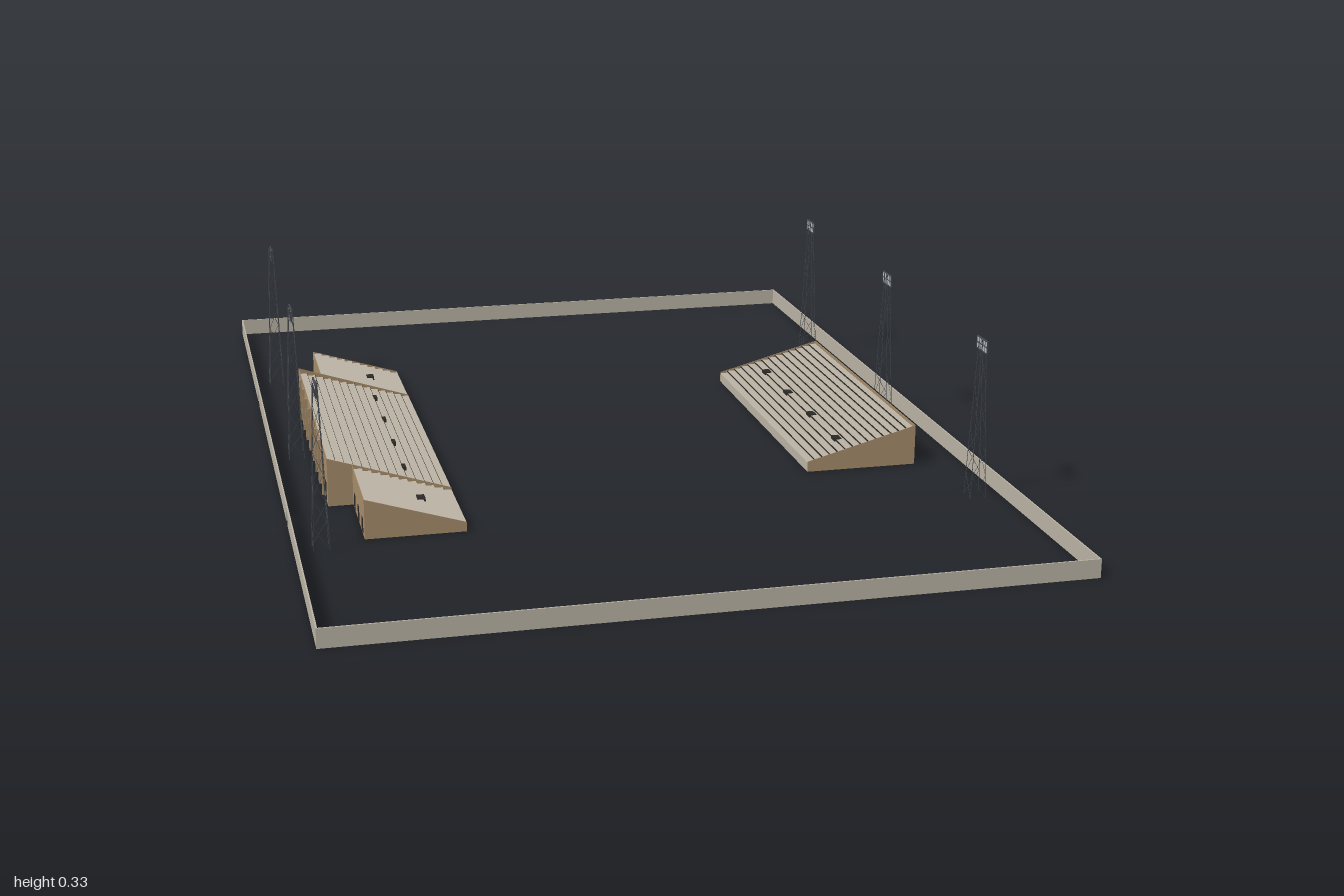
import * as THREE from 'three';
import { mergeGeometries } from 'three/addons/utils/BufferGeometryUtils.js';

const mat = (name, color, side = THREE.FrontSide) => {
  const m = new THREE.MeshStandardMaterial({ color, side });
  m.name = name;
  return m;
};

// box geometry given by its minimum and maximum corners
function block(x0, x1, y0, y1, z0, z1) {
  return new THREE.BoxGeometry(Math.abs(x1 - x0), y1 - y0, z1 - z0)
    .translate((x0 + x1) / 2, (y0 + y1) / 2, (z0 + z1) / 2);
}

function addMesh(parent, name, geometries, material) {
  const mesh = new THREE.Mesh(mergeGeometries(geometries.map(g => g.index ? g.toNonIndexed() : g)), material);
  mesh.name = name;
  parent.add(mesh);
}

// thin four-sided bar between two points
function bar(a, b, r = 0.0004) {
  const d = b.clone().sub(a);
  const q = new THREE.Quaternion().setFromUnitVectors(new THREE.Vector3(0, 1, 0), d.clone().normalize());
  return new THREE.CylinderGeometry(r, r, d.length(), 4)
    .applyQuaternion(q)
    .translate((a.x + b.x) / 2, (a.y + b.y) / 2, (a.z + b.z) / 2);
}

export function createModel() {
  const model = new THREE.Group();
  model.name = 'sportsGround';
  const concrete = mat('concrete', 0xbab2a4);
  const brick = mat('brownBrick', 0xa68b6a);
  const dark = mat('darkOpening', 0x2b2926, THREE.DoubleSide);
  const steel = mat('darkSteel', 0x43484f);
  const lampGrey = mat('lampGrey', 0xb4b8ba);

  // perimeter wall with two low gateways on one long side
  const X = 0.71, T = 0.003, H = 0.037;
  const walls = [
    block(-X, X, 0, H, 1 - T, 1),
    block(-X, X, 0, H, -1, -1 + T),
    block(X - T, X, 0, H, -1 + T, 1 - T),
  ];
  for (const [z0, z1] of [[-1 + T, -0.415], [-0.38, 0.38], [0.415, 1 - T]])
    walls.push(block(-X, -X + T, 0, H, z0, z1));
  for (const z of [-0.415, 0.38])
    walls.push(block(-X, -X + T, 0.025, H, z, z + 0.035));
  addMesh(model, 'perimeterWall', walls, concrete);

  // one block of terracing; s is the side of the ground it stands on
  function stand(name, s, o) {
    const g = new THREE.Group();
    g.name = name;
    const { front, back, low, high, z0, z1, rows, drop, rail, bays, hatches, hatchX, hatchW } = o;
    const p = 0.001, depth = (back - front - p) / rows;
    const rise = (high - drop - low) / (rows - 1);
    const treads = [], risers = [], openings = [], bricks = [];

    for (let i = 0; i < rows; i++) {
      const x = front + i * depth, y = low - 0.002 + i * rise;
      treads.push(block(s * x, s * (x + depth), 0, y, z0 + p, z1 - p));
      // dark strip on each riser, standing up a little where the rows have rails
      if (i > 0) {
        const bottom = rail ? y - rise * 0.5 : y - rise;
        const h = rise * 0.5 + (rail ? 0.0014 : 0);
        risers.push(new THREE.PlaneGeometry(z1 - z0 - 2 * p, h)
          .rotateY(s > 0 ? -Math.PI / 2 : Math.PI / 2)
          .translate(s * (x - 0.0004), bottom + h / 2, (z0 + z1) / 2));
      }
    }
    addMesh(g, 'terraceSteps', treads, concrete);
    addMesh(g, 'rowRisers', risers, dark);

    // sloping end walls and back wall
    const profile = new THREE.Shape([
      [front, 0], [back, 0], [back, high], [front, low],
    ].map(([x, y]) => new THREE.Vector2(s * x, y)));
    for (const z of [z0, z1 - p])
      bricks.push(new THREE.ExtrudeGeometry(profile, { depth: p, bevelEnabled: false }).translate(0, 0, z));
    bricks.push(block(s * (back - p), s * back, 0, high, z0 + p, z1 - p));

    // doorways along the back, with buttresses between them on the main blocks
    const pitch = (z1 - z0) / bays;
    for (let i = 0; i < bays; i++) {
      const zc = z0 + (i + 0.5) * pitch;
      openings.push(block(s * back, s * (back + 0.001), 0.004, high * 0.42, zc - 0.009, zc + 0.009));
      if (rail && i > 0) {
        const zb = z0 + i * pitch;
        bricks.push(block(s * back, s * (back + 0.005), 0, high * 0.94, zb - 0.003, zb + 0.003));
      }
    }
    addMesh(g, 'brickWalls', bricks, brick);
    addMesh(g, 'backDoors', openings, dark);

    // small stairway openings in the terrace
    const y = low + Math.floor((hatchX + hatchW - front) / depth) * rise;
    addMesh(g, 'terraceOpenings', hatches.map(z =>
      block(s * (hatchX - hatchW), s * (hatchX + hatchW), y - 0.007, y, z - 0.012, z + 0.012)), dark);
    model.add(g);
  }

  stand('shortStand', 1, {
    front: 0.371, back: 0.606, low: 0.022, high: 0.085, z0: -0.333, z1: 0.33,
    rows: 14, drop: 0.005, rail: true, bays: 9,
    hatches: [-0.25, -0.085, 0.08, 0.25], hatchX: 0.46, hatchW: 0.008,
  });
  stand('longStandCentre', -1, {
    front: 0.375, back: 0.622, low: 0.021, high: 0.1, z0: -0.322, z1: 0.318,
    rows: 14, drop: 0.011, rail: true, bays: 9,
    hatches: [-0.24, -0.08, 0.08, 0.24], hatchX: 0.46, hatchW: 0.004,
  });
  for (const [name, z0, z1] of [['longStandRearWing', -0.519, -0.322], ['longStandFrontWing', 0.318, 0.514]])
    stand(name, -1, {
      front: 0.375, back: 0.572, low: 0.019, high: 0.08, z0, z1,
      rows: 11, drop: 0.003, rail: false, bays: 3,
      hatches: [(z0 + z1) / 2], hatchX: 0.45, hatchW: 0.008,
    });

  // floodlight tower: tapered lattice mast with a thin lamp panel facing the field
  function tower(x, z) {
    const g = new THREE.Group();
    g.name = 'floodlightTower';
    const levels = 7, top = 0.328;
    const corner = (k, t) => {
      const wx = 0.016 - 0.012 * t, wz = 0.017 - 0.009 * t;
      return new THREE.Vector3([-1, 1, 1, -1][k % 4] * wx, t * top, [-1, -1, 1, 1][k % 4] * wz);
    };
    const bars = [];
    for (let k = 0; k < 4; k++) {
      bars.push(bar(corner(k, 0), corner(k, 1), 0.0006));
      for (let i = 0; i < levels; i++)
        bars.push(bar(corner(k + i % 2, i / levels), corner(k + 1 - i % 2, (i + 1) / levels)));
    }
    addMesh(g, 'latticeMast', bars, steel);

    // panel frame and two rows of lamps
    const frame = [], lamps = [];
    for (const y of [0.304, 0.316, 0.328])
      frame.push(block(-0.0015, 0.0015, y - 0.001, y + 0.001, -0.026, 0.026));
    for (let i = 0; i < 6; i++) {
      const zc = -0.025 + i * 0.01;
      frame.push(block(-0.0015, 0.0015, 0.304, 0.328, zc - 0.0008, zc + 0.0008));
      if (i < 5)
        for (const y of [0.31, 0.322])
          lamps.push(block(-0.001, 0.001, y - 0.005, y + 0.005, zc + 0.0008, zc + 0.0092));
    }
    addMesh(g, 'lampFrame', frame, steel);
    addMesh(g, 'lamps', lamps, lampGrey);
    g.position.set(x, 0, z);
    model.add(g);
  }
  for (const x of [-0.658, 0.655])
    for (const z of [-0.54, 0, 0.54]) tower(x, z);

  return model;
}
